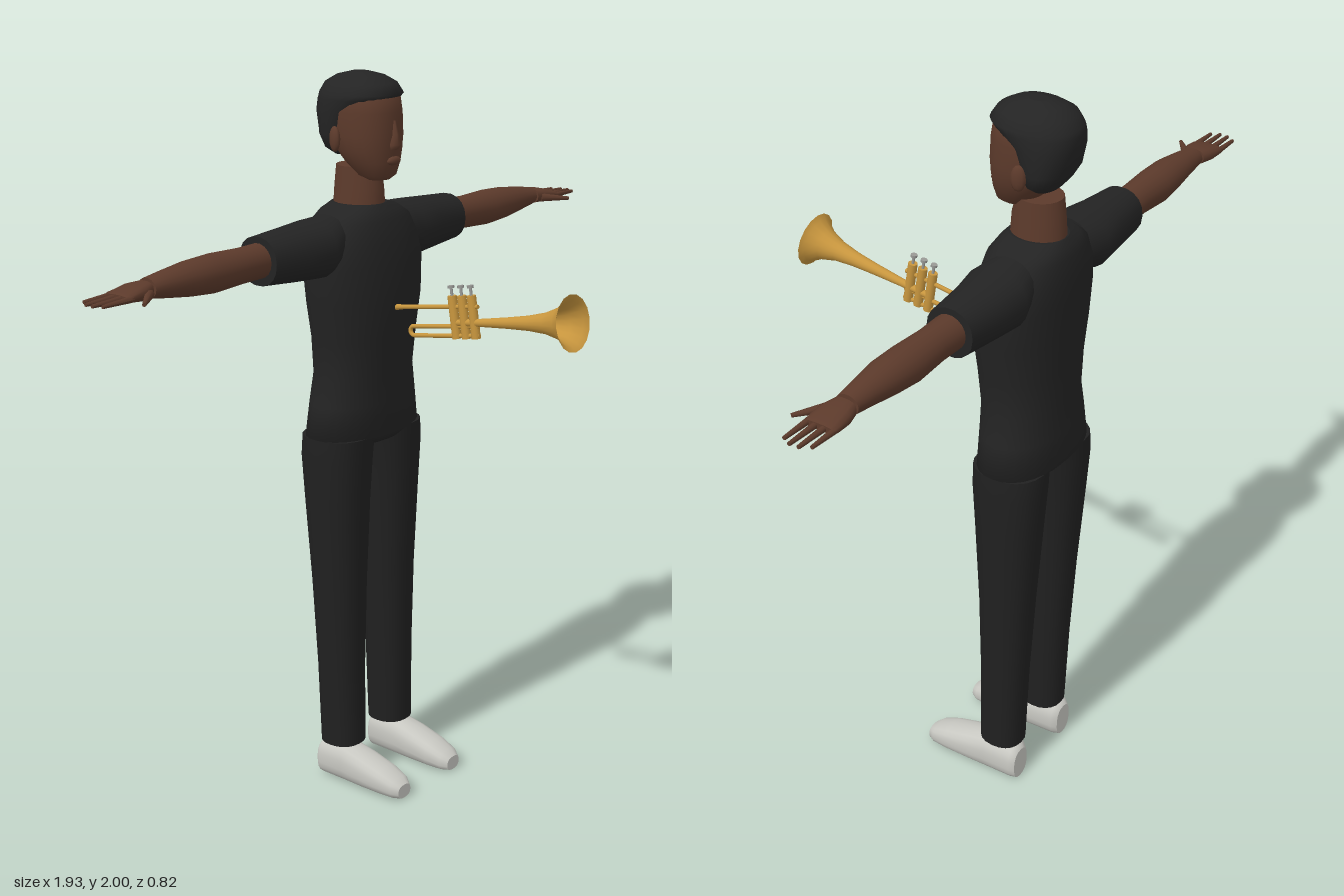
import * as THREE from 'three';
import { mergeGeometries } from 'three/addons/utils/BufferGeometryUtils.js';

const material = (name, color, side = THREE.FrontSide) => {
  const m = new THREE.MeshStandardMaterial({ color, side });
  m.name = name;
  return m;
};

// Skin a row of rounded cross-sections [t, uMin, uMax, vMin, vMax], with t ascending.
// axis y: u = x, v = z; axis x: u = z, v = y; axis z: u = y, v = x.
function loft(sections, axis = 'y', n = 20, power = 2) {
  const pos = [], idx = [];
  const put = (t, u, v) => {
    if (axis === 'y') pos.push(u, t, v);
    else if (axis === 'x') pos.push(t, v, u);
    else pos.push(v, u, t);
  };
  const bend = (c) => Math.sign(c) * Math.abs(c) ** (2 / power);
  const ring = ([t, u0, u1, v0, v1]) => {
    for (let i = 0; i < n; i++) {
      const a = (i / n) * Math.PI * 2;
      put(t, (u0 + u1) / 2 + bend(Math.cos(a)) * (u1 - u0) / 2,
        (v0 + v1) / 2 + bend(Math.sin(a)) * (v1 - v0) / 2);
    }
  };
  sections.forEach(ring);
  for (let j = 0; j < sections.length - 1; j++) {
    for (let i = 0; i < n; i++) {
      const a = j * n + i, b = j * n + (i + 1) % n;
      idx.push(b, a, a + n, b, a + n, b + n);
    }
  }
  // flat end caps with their own vertices
  [sections[0], sections[sections.length - 1]].forEach((s, end) => {
    const first = pos.length / 3;
    ring(s);
    put(s[0], (s[1] + s[2]) / 2, (s[3] + s[4]) / 2);
    for (let i = 0; i < n; i++) {
      const a = first + i, b = first + (i + 1) % n;
      idx.push(first + n, end ? b : a, end ? a : b);
    }
  });
  const g = new THREE.BufferGeometry();
  g.setAttribute('position', new THREE.Float32BufferAttribute(pos, 3));
  g.setIndex(idx);
  g.computeVertexNormals();
  return g;
}

// Section symmetric in x: [y, halfWidth, zBack, zFront]
const body = (rows, n, power) =>
  loft(rows.map(([y, r, z0, z1]) => [y, -r, r, z0, z1]), 'y', n, power);

function mirrored(geo) {
  const g = geo.clone().scale(-1, 1, 1);
  const a = g.index.array;
  for (let i = 0; i < a.length; i += 3) [a[i], a[i + 1]] = [a[i + 1], a[i]];
  g.computeVertexNormals();
  return g;
}

// Straight rod between two points
function rod(a, b, r0, r1 = r0, n = 8) {
  const from = new THREE.Vector3(...a), d = new THREE.Vector3(...b).sub(from);
  const g = new THREE.CylinderGeometry(r1, r0, d.length(), n);
  g.translate(0, d.length() / 2, 0);
  g.applyQuaternion(new THREE.Quaternion().setFromUnitVectors(new THREE.Vector3(0, 1, 0), d.normalize()));
  return g.translate(...a);
}

export function createModel() {
  const model = new THREE.Group();
  model.name = 'trumpetPlayer';
  const skin = material('skin', 0x5c3a2b);
  const shirt = material('shirt', 0x232323);
  const trousers = material('trousers', 0x202020);
  const hair = material('hair', 0x242424);
  const shoe = material('shoe', 0xc8c8c2);
  const brass = material('brass', 0xc8963e, THREE.DoubleSide);
  const silver = material('silver', 0x9a9a96);

  const add = (name, geo, mat, parent = model) => {
    const m = new THREE.Mesh(geo, mat);
    m.name = name;
    parent.add(m);
    return m;
  };
  const addPair = (name, geo, mat) => {
    add(name + 'Left', geo, mat);
    add(name + 'Right', mirrored(geo), mat);
  };

  // Head, nose, ears and neck
  add('head', body([
    [1.722, 0.03, -0.255, -0.2], [1.735, 0.05, -0.285, -0.183], [1.77, 0.07, -0.32, -0.175],
    [1.8, 0.083, -0.345, -0.173], [1.84, 0.091, -0.37, -0.17], [1.9, 0.093, -0.385, -0.172],
    [1.94, 0.09, -0.385, -0.178], [1.975, 0.065, -0.36, -0.21],
  ], 24, 2.2), skin);
  add('nose', loft([
    [1.805, -0.016, 0.016, -0.2, -0.163], [1.818, -0.019, 0.019, -0.2, -0.154],
    [1.845, -0.011, 0.011, -0.2, -0.16], [1.88, -0.007, 0.007, -0.2, -0.168],
  ], 'y', 10), skin);
  add('lips', new THREE.SphereGeometry(1, 12, 8).scale(0.026, 0.012, 0.012).translate(0, 1.775, -0.176), skin);
  addPair('ear', new THREE.SphereGeometry(1, 10, 8).scale(0.012, 0.034, 0.02).rotateY(0.3).translate(0.096, 1.832, -0.295), skin);
  add('neck', body([
    [1.63, 0.064, -0.372, -0.222], [1.7, 0.06, -0.366, -0.226], [1.755, 0.057, -0.358, -0.24],
  ]), skin);

  // Short hair: low at the nape, reaching forward to the hairline
  add('hair', body([
    [1.785, 0.055, -0.35, -0.29], [1.805, 0.086, -0.366, -0.285], [1.84, 0.096, -0.388, -0.265],
    [1.9, 0.099, -0.402, -0.23], [1.932, 0.099, -0.402, -0.185], [1.946, 0.097, -0.399, -0.168],
    [1.972, 0.083, -0.383, -0.185], [1.99, 0.055, -0.352, -0.218], [2.0, 0.02, -0.31, -0.26],
  ], 24, 2.2), hair);

  // Shirt with sleeves
  add('shirt', body([
    [0.99, 0.06, -0.35, -0.25], [1.005, 0.12, -0.385, -0.21], [1.03, 0.19, -0.405, -0.19],
    [1.12, 0.174, -0.4, -0.188], [1.2, 0.157, -0.395, -0.185], [1.3, 0.165, -0.396, -0.175],
    [1.4, 0.184, -0.4, -0.168], [1.5, 0.195, -0.402, -0.172], [1.56, 0.185, -0.402, -0.18],
    [1.615, 0.155, -0.395, -0.192], [1.64, 0.115, -0.385, -0.208], [1.656, 0.068, -0.372, -0.222],
  ], 28, 2.3), shirt);
  addPair('sleeve', loft([
    [0.13, -0.37, -0.225, 1.5, 1.638], [0.19, -0.39, -0.208, 1.478, 1.634],
    [0.27, -0.38, -0.225, 1.482, 1.628], [0.39, -0.368, -0.238, 1.492, 1.62],
  ], 'x', 18, 2.2), shirt);

  // Bare arms, ending just short of the hands
  addPair('arm', loft([
    [0.36, -0.35, -0.255, 1.512, 1.604], [0.46, -0.346, -0.258, 1.51, 1.602],
    [0.56, -0.352, -0.252, 1.505, 1.605], [0.64, -0.347, -0.252, 1.512, 1.602],
    [0.72, -0.337, -0.262, 1.523, 1.592], [0.778, -0.332, -0.268, 1.532, 1.583],
  ], 'x', 18), skin);

  // Hands: palm, four fingers and a thumb
  addPair('palm', loft([
    [0.785, -0.332, -0.268, 1.535, 1.578], [0.82, -0.343, -0.258, 1.534, 1.576],
    [0.865, -0.346, -0.256, 1.54, 1.565], [0.877, -0.343, -0.258, 1.543, 1.56],
  ], 'x', 14, 2.6), skin);
  const fingers = [[-0.335, 0.947], [-0.311, 0.963], [-0.287, 0.965], [-0.264, 0.953]]
    .map(([z, tip]) => rod([0.86, 1.551, z], [tip, 1.55, z], 0.0085, 0.005));
  addPair('fingers', mergeGeometries(fingers), skin);
  addPair('thumb', rod([0.8, 1.552, -0.268], [0.868, 1.546, -0.216], 0.012, 0.005), skin);

  // Trouser legs
  addPair('trouserLeg', loft([
    [0.115, 0.045, 0.162, -0.356, -0.234], [0.35, 0.042, 0.166, -0.362, -0.232],
    [0.6, 0.034, 0.174, -0.374, -0.224], [0.85, 0.024, 0.186, -0.39, -0.21],
    [0.97, 0.016, 0.192, -0.397, -0.202], [1.03, 0.008, 0.189, -0.395, -0.2],
  ], 'y', 20, 2.3), trousers);

  // Shoes, heel to toe
  addPair('shoe', loft([
    [-0.36, 0.0, 0.095, 0.08, 0.145], [-0.345, 0.0, 0.112, 0.068, 0.155], [-0.26, 0.0, 0.115, 0.062, 0.16],
    [-0.2, 0.0, 0.1, 0.06, 0.162], [-0.13, 0.0, 0.078, 0.062, 0.16],
    [-0.085, 0.0, 0.058, 0.07, 0.152], [-0.064, 0.002, 0.042, 0.085, 0.138],
  ], 'z', 18, 2.5), shoe);

  // Trumpet, bell tilted slightly up
  const trumpet = new THREE.Group();
  trumpet.name = 'trumpet';
  trumpet.position.set(0, 1.375, 0.06);
  trumpet.rotation.x = -0.147;
  model.add(trumpet);
  const bell = [[0.009, -0.03], [0.011, 0.06], [0.015, 0.14], [0.02, 0.21], [0.028, 0.265],
    [0.042, 0.308], [0.06, 0.335], [0.074, 0.345]].map((p) => new THREE.Vector2(...p));
  add('bell', new THREE.LatheGeometry(bell, 16).rotateX(Math.PI / 2), brass, trumpet);
  add('leadPipe', rod([0, 0.042, 0.05], [0, 0.042, -0.235], 0.006), brass, trumpet);
  add('mouthpiece', rod([0, 0.042, -0.2], [0, 0.042, -0.24], 0.006, 0.01), brass, trumpet);
  for (const y of [-0.01, -0.035]) {
    add('slideTube', rod([0, y, 0.045], [0, y, -0.175], 0.006), brass, trumpet);
  }
  add('slideBend', new THREE.TorusGeometry(0.0125, 0.006, 8, 10, Math.PI)
    .rotateZ(Math.PI / 2).rotateY(-Math.PI / 2).translate(0, -0.0225, -0.175), brass, trumpet);
  for (const z of [-0.032, 0, 0.032]) {
    add('valve', rod([0, -0.042, z], [0, 0.072, z], 0.0125, 0.0125, 12), brass, trumpet);
    add('valveStem', rod([0, 0.07, z], [0, 0.093, z], 0.004), silver, trumpet);
    add('valveButton', rod([0, 0.092, z], [0, 0.099, z], 0.009), silver, trumpet);
  }
  return model;
}
